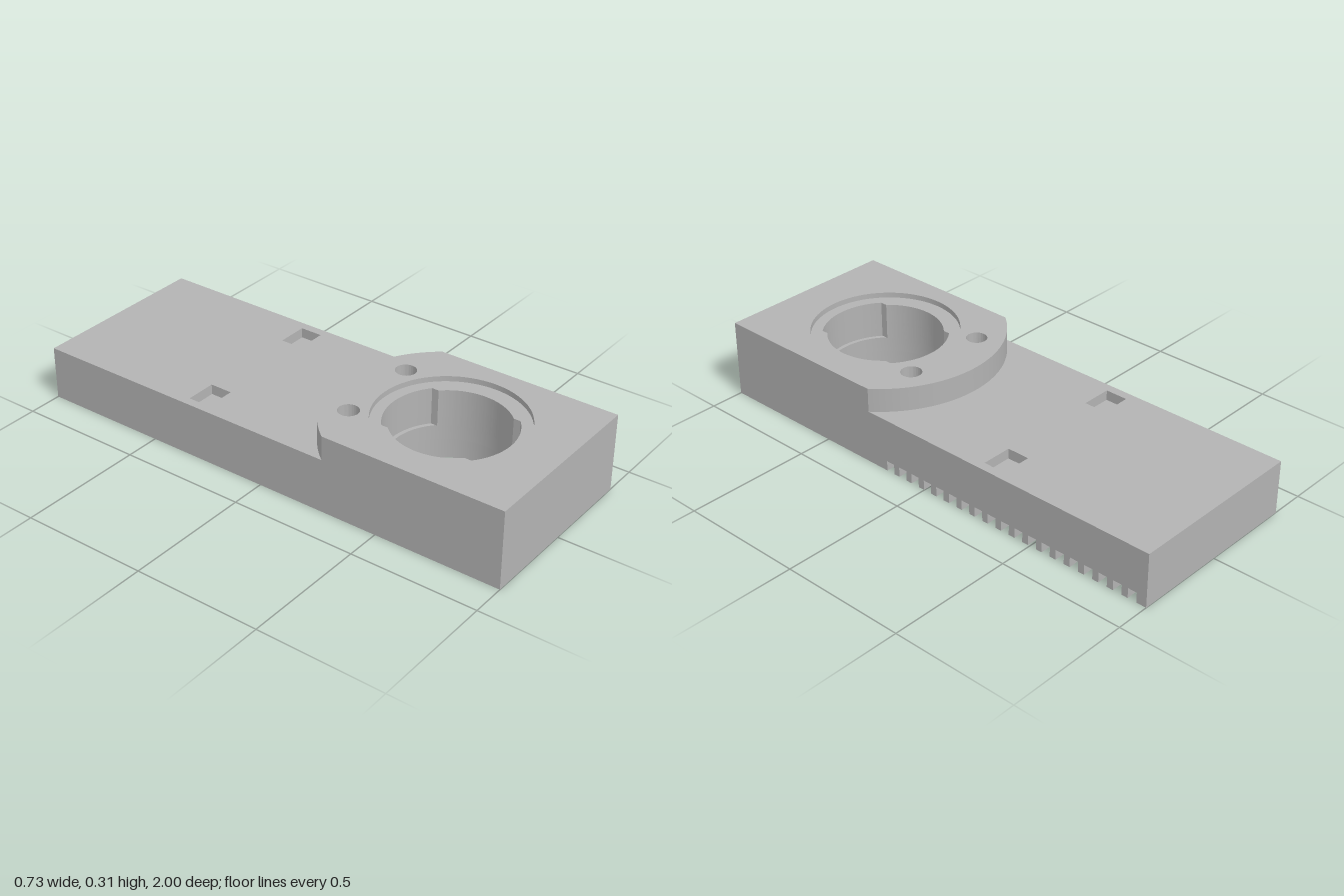
import * as THREE from 'three';
import { toCreasedNormals } from 'three/addons/utils/BufferGeometryUtils.js';

const W = 0.364;      // half width
const L = 1;          // half length
const WALL = 0.06;    // rim wall thickness
const CY = -0.555;    // bore centre in plan (plan y = -z)
const LAND = 0.22, SLOT = 0.24, SLOT_X = 0.155;

// Closed rectangle in plan
function rect(x0, y0, x1, y1, Type = THREE.Shape) {
  const s = new Type();
  s.moveTo(x0, y0);
  s.lineTo(x1, y0);
  s.lineTo(x1, y1);
  s.lineTo(x0, y1);
  s.closePath();
  return s;
}

function circle(x, y, r, Type = THREE.Path) {
  const s = new Type();
  s.absarc(x, y, r, 0, Math.PI * 2, false);
  return s;
}

// Bore with a wide slot at its front and back
function slottedBore() {
  const b = Math.acos(SLOT_X / LAND), c = Math.acos(SLOT_X / SLOT), p = new THREE.Path();
  p.absarc(0, CY, LAND, -b, b, false);
  p.absarc(0, CY, SLOT, c, Math.PI - c, false);
  p.absarc(0, CY, LAND, Math.PI - b, Math.PI + b, false);
  p.absarc(0, CY, SLOT, Math.PI + c, Math.PI * 2 - c, false);
  p.closePath();
  return p;
}

// Raised head: square front, arched back
function headOutline() {
  const R = 0.46, a = Math.acos(W / R), s = new THREE.Shape();
  s.moveTo(-W, -L);
  s.lineTo(W, -L);
  s.absarc(0, CY, R, a, Math.PI - a, false);
  s.closePath();
  return s;
}

const pins = () => [-1, 1].map((s) => circle(s * 0.173, -0.245, 0.04));
const pockets = () => [-1, 1].map((s) =>
  rect(s * 0.268 - 0.061, 0.26, s * 0.268 + 0.061, 0.35, THREE.Path));

export function createModel() {
  const group = new THREE.Group();
  const grey = new THREE.MeshStandardMaterial({ color: 0xb3b3b3 });
  grey.name = 'grey';

  // Extrude a plan shape from y0 up to y1
  function slab(name, shape, holes, y0, y1) {
    shape.holes.push(...holes);
    let g = new THREE.ExtrudeGeometry(shape, { depth: y1 - y0, bevelEnabled: false, curveSegments: 40 });
    g.rotateX(-Math.PI / 2);
    g.translate(0, y0, 0);
    g = toCreasedNormals(g, 0.4);
    const mesh = new THREE.Mesh(g, grey);
    mesh.name = name;
    group.add(mesh);
  }
  const plan = () => rect(-W, -L, W, L);

  // Rim walls around the hollow underside
  const wx = W - WALL, wz = L - WALL;
  slab('rimUpper', plan(), [rect(-wx, -wz, wx, wz, THREE.Path)], 0.04, 0.08);
  slab('rimLeftPlain', rect(-W, -L, -wx, L), [], 0, 0.04);
  slab('rimFront', rect(-wx, -L, wx, -wz), [], 0, 0.04);
  slab('rimBack', rect(-wx, wz, wx, L), [], 0, 0.04);

  // Comb of notches along one wall
  const count = 19, pitch = 0.0617, half = 0.018, first = -0.169;
  let start = -L;
  for (let i = 0; i <= count; i++) {
    const mid = first + i * pitch;
    slab('combTooth', rect(wx, start, W, i < count ? mid - half : L), [], 0, 0.04);
    start = mid + half;
  }

  // Collar around the bore under the plate
  slab('boreCollar', circle(0, CY, 0.285, THREE.Shape), [circle(0, CY, 0.225)], 0, 0.08);

  // Main plate with blind pockets
  slab('plateLower', plan(), [circle(0, CY, 0.225)], 0.08, 0.14);
  slab('plateMiddle', plan(), [slottedBore()], 0.14, 0.173);
  slab('plateUpper', plan(), [slottedBore(), ...pins(), ...pockets()], 0.173, 0.213);

  // Raised head with pin holes and a shallow seat round the bore
  slab('headLower', headOutline(), [slottedBore(), ...pins()], 0.213, 0.287);
  slab('headUpper', headOutline(), [circle(0, CY, 0.283), ...pins()], 0.287, 0.308);

  return group;
}
